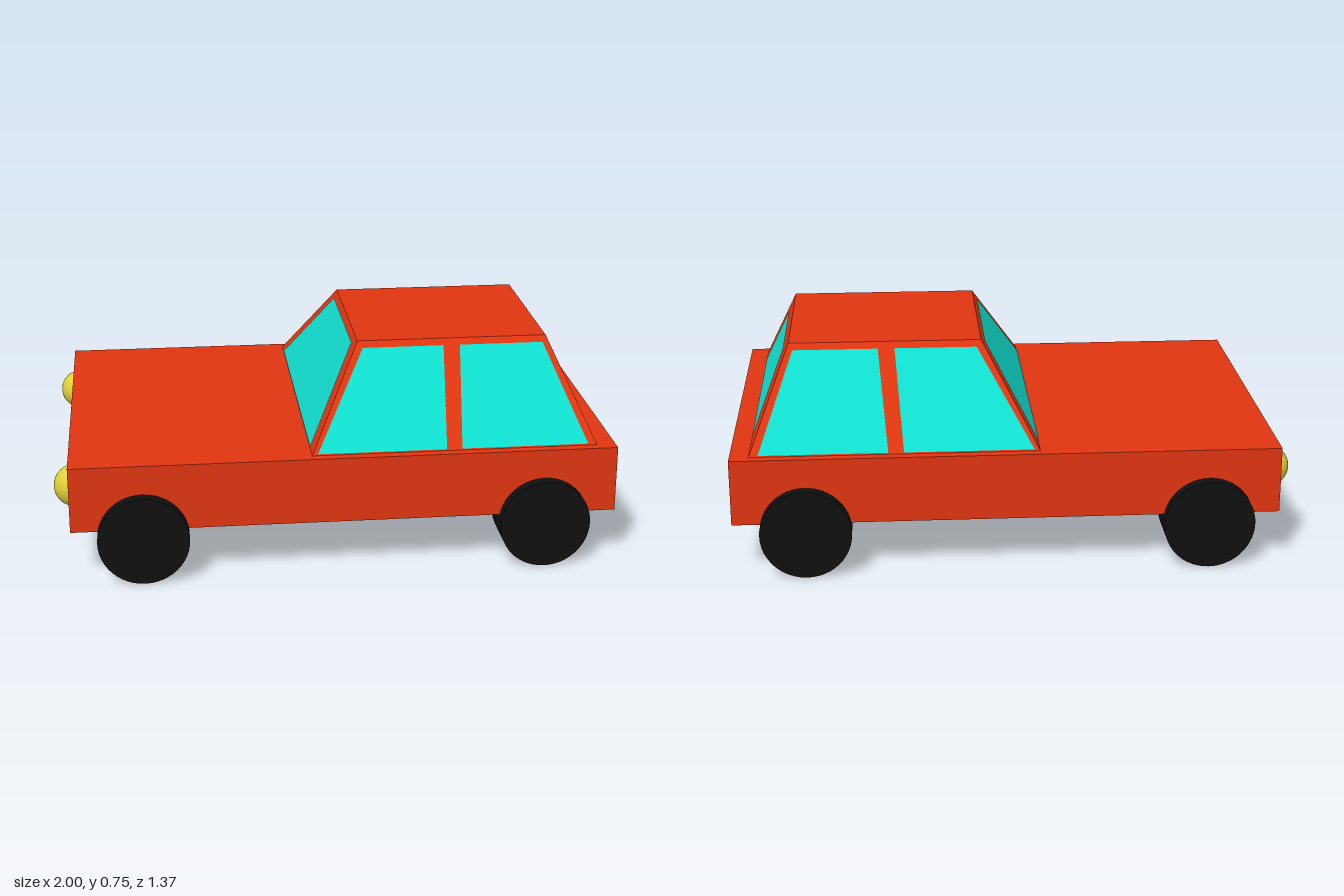
import * as THREE from 'three';

const paint = new THREE.MeshStandardMaterial({ color: 0xe03510 });
const glass = new THREE.MeshStandardMaterial({ color: 0x10e0d0, side: THREE.DoubleSide });
const rubber = new THREE.MeshStandardMaterial({ color: 0x101010 });
const lamp = new THREE.MeshStandardMaterial({ color: 0xe0d038 });

// Cabin limits at its base and at the roof
const BASE = { y: 0.43, x0: -0.09, x1: 0.932, z: 0.61 };
const ROOF = { y: 0.755, x0: 0.103, x1: 0.795, z: 0.325 };
const GAP = 0.004; // how far the panes stand proud of the cabin

// Cabin limit at height y
const at = (key, y) =>
  THREE.MathUtils.mapLinear(y, BASE.y, ROOF.y, BASE[key], ROOF[key]);

function add(group, name, geometry, material, x = 0, y = 0, z = 0) {
  const mesh = new THREE.Mesh(geometry, material);
  mesh.name = name;
  mesh.position.set(x, y, z);
  group.add(mesh);
}

// Flat four-cornered pane, corners counter-clockwise from outside
function pane(corners) {
  const geometry = new THREE.BufferGeometry();
  geometry.setAttribute('position', new THREE.Float32BufferAttribute(corners.flat(), 3));
  geometry.setIndex([0, 1, 2, 0, 2, 3]);
  geometry.computeVertexNormals();
  return geometry;
}

// Tapered cabin: a unit box with its corners moved to the limits
function cabinGeometry() {
  const geometry = new THREE.BoxGeometry(1, 1, 1).toNonIndexed();
  const p = geometry.attributes.position;
  for (let i = 0; i < p.count; i++) {
    const level = p.getY(i) > 0 ? ROOF : BASE;
    p.setXYZ(i, p.getX(i) > 0 ? level.x1 : level.x0, level.y, Math.sign(p.getZ(i)) * level.z);
  }
  geometry.computeVertexNormals();
  return geometry;
}

export function createModel() {
  const car = new THREE.Group();
  car.name = 'car';

  add(car, 'body', new THREE.BoxGeometry(1.945, 0.24, 1.29), paint, 0.0275, 0.31, 0);
  add(car, 'cabin', cabinGeometry(), paint);

  // Two side windows on each side: bottom x pair, top x pair
  const sideWindows = {
    frontSideWindow: [-0.07, 0.39, 0.415, 0.12],
    rearSideWindow: [0.445, 0.9, 0.78, 0.475],
  };
  for (const side of [1, -1]) {
    for (const [name, xs] of Object.entries(sideWindows)) {
      const corners = xs.map((x, i) => {
        const y = i < 2 ? 0.435 : 0.735;
        return [x, y, side * (at('z', y) + GAP)];
      });
      if (side < 0) corners.reverse();
      add(car, name, pane(corners), glass);
    }
  }

  // Windscreen faces -x, rear window faces +x
  const endPane = (key, dir, yLow, yHigh, zLow, zHigh) =>
    pane([[yLow, zLow], [yLow, -zLow], [yHigh, -zHigh], [yHigh, zHigh]].map(
      ([y, z]) => [at(key, y) + dir * GAP, y, dir * z]));
  add(car, 'windscreen', endPane('x0', -1, 0.435, 0.735, 0.54, 0.28), glass);
  add(car, 'rearWindow', endPane('x1', 1, 0.447, 0.71, 0.466, 0.24), glass);

  // Wheels and headlights
  const wheel = new THREE.CylinderGeometry(0.162, 0.162, 0.17, 48).rotateX(Math.PI / 2);
  const headlight = new THREE.SphereGeometry(0.075, 32, 20);
  for (const side of [1, -1]) {
    add(car, 'frontWheel', wheel, rubber, -0.69, 0.162, side * 0.6);
    add(car, 'rearWheel', wheel, rubber, 0.74, 0.162, side * 0.6);
    add(car, 'headlight', headlight, lamp, -0.925, 0.313, side * 0.505);
  }
  return car;
}
